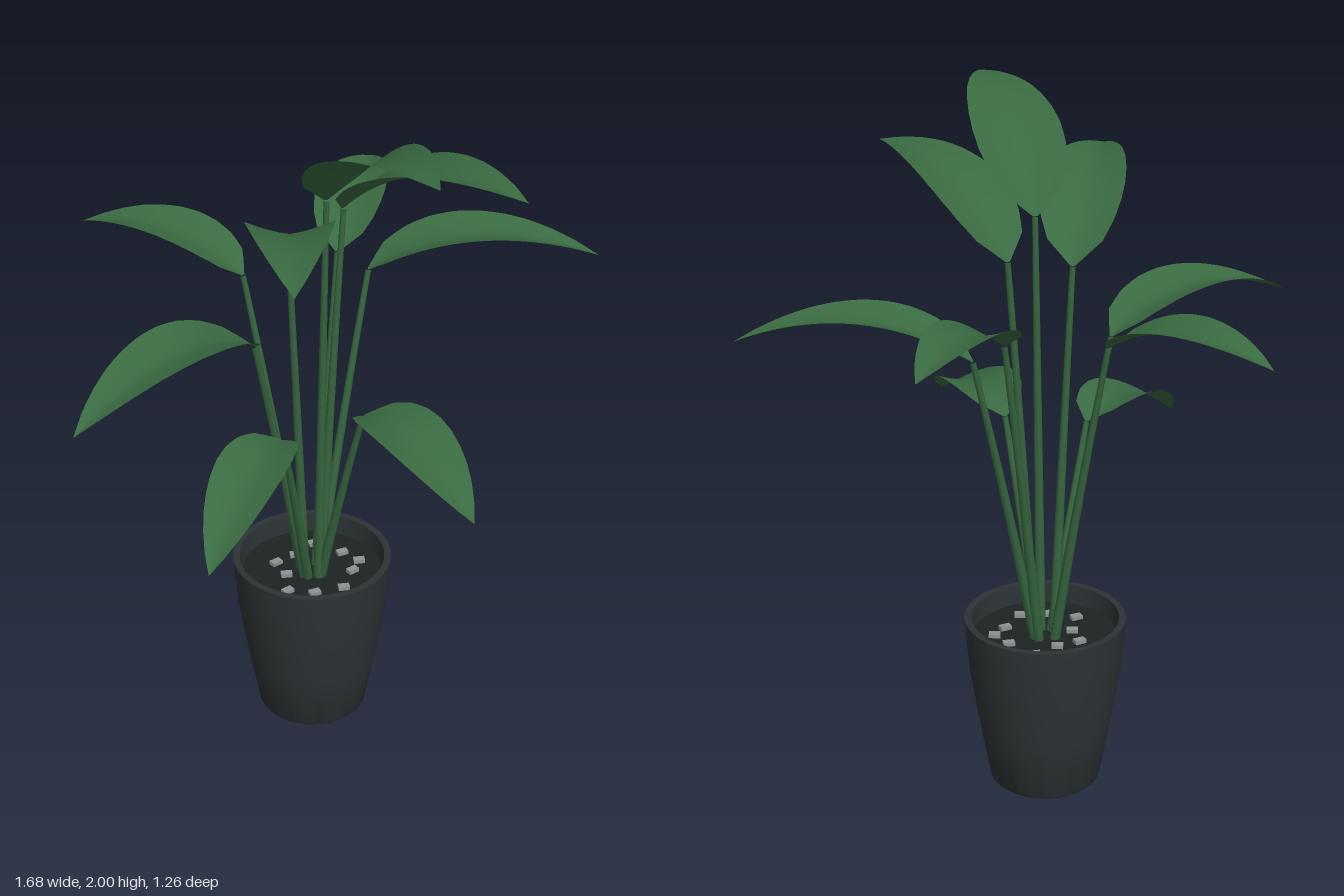
import * as THREE from 'three';
import { toCreasedNormals } from 'three/addons/utils/BufferGeometryUtils.js';

const material = (name, color, extra = {}) => {
  const m = new THREE.MeshStandardMaterial({ color, ...extra });
  m.name = name;
  return m;
};
const leafGreen = material('leaf green', 0x3a6b42, { side: THREE.DoubleSide });
const stemGreen = material('stem green', 0x37663f);
const potGrey = material('pot charcoal', 0x2d3436);
const soilDark = material('soil dark', 0x1d2223);
const pebbleGrey = material('pebble grey', 0x8d9395);

const POT = new THREE.Vector3(-0.018, 0, -0.057);
const SOIL_Y = 0.465;

// Each leaf: base, tip, height of the arch control point, half width
const LEAVES = [
  { name: 'topFront', base: [-0.005, 1.72, 0.02], tip: [0.03, 1.995, 0.62], arch: 2.0, half: 0.128 },
  { name: 'upperFrontRight', base: [-0.105, 1.58, -0.01], tip: [-0.34, 1.765, 0.59], arch: 1.84, half: 0.118 },
  { name: 'upperFrontLeft', base: [0.095, 1.63, -0.09], tip: [0.355, 1.84, 0.48], arch: 1.89, half: 0.115 },
  { name: 'middleLeft', base: [0.21, 1.38, -0.17], tip: [0.835, 1.405, 0.06], arch: 1.57, half: 0.105 },
  { name: 'middleRight', base: [-0.235, 1.34, 0.055], tip: [-0.84, 1.35, 0.33], arch: 1.53, half: 0.11 },
  { name: 'lowerRight', base: [-0.18, 1.06, 0.115], tip: [-0.54, 0.93, 0.47], arch: 1.15, half: 0.1 },
  { name: 'lowerFront', base: [0.06, 1.09, 0.13], tip: [0.16, 1.0, 0.625], arch: 1.19, half: 0.108 },
  { name: 'backRight', base: [-0.155, 1.41, -0.225], tip: [-0.49, 1.468, -0.63], arch: 1.565, half: 0.1 },
  { name: 'backLeft', base: [0.13, 1.435, -0.21], tip: [0.44, 1.508, -0.63], arch: 1.595, half: 0.1 },
];

// Relative leaf width from base to tip
const WIDTHS = [0.06, 0.66, 0.88, 0.98, 1, 0.95, 0.85, 0.71, 0.52, 0.29, 0.004];
function leafWidth(t) {
  const f = t * (WIDTHS.length - 1);
  const i = Math.min(Math.floor(f), WIDTHS.length - 2);
  return THREE.MathUtils.lerp(WIDTHS[i], WIDTHS[i + 1], f - i);
}

// Arched blade with its two sides folded up from the midrib
function leafGeometry(base, tip, arch, half) {
  const control = base.clone().lerp(tip, 0.4).setY(arch);
  const spine = new THREE.QuadraticBezierCurve3(base, control, tip);
  const side = new THREE.Vector3(-(tip.z - base.z), 0, tip.x - base.x).normalize();
  const rows = 20, cols = 8, positions = [], index = [];
  for (let i = 0; i <= rows; i++) {
    const t = i / rows;
    const centre = spine.getPointAt(t);
    const up = new THREE.Vector3().crossVectors(side, spine.getTangentAt(t));
    if (up.y < 0) up.negate();
    const w = half * leafWidth(t);
    for (let j = 0; j <= cols; j++) {
      const s = (j / cols) * 2 - 1;
      const p = centre.clone()
        .addScaledVector(side, s * w)
        .addScaledVector(up, 0.28 * w * Math.abs(s) ** 1.4);
      positions.push(p.x, p.y, p.z);
      if (i < rows && j < cols) {
        const a = i * (cols + 1) + j, b = a + cols + 1;
        index.push(a, a + 1, b, a + 1, b + 1, b);
      }
    }
  }
  const g = new THREE.BufferGeometry();
  g.setAttribute('position', new THREE.Float32BufferAttribute(positions, 3));
  g.setIndex(index);
  g.computeVertexNormals();
  // Turn the front face upward
  const n = g.attributes.normal;
  if (n.getY(Math.floor(n.count / 2)) < 0) {
    g.setIndex(index.reverse());
    g.computeVertexNormals();
  }
  return g;
}

// Slightly bowed stalk, thinner toward the leaf
function stemGeometry(base) {
  const out = new THREE.Vector3(base.x - POT.x, 0, base.z - POT.z);
  const root = POT.clone().addScaledVector(out.clone().normalize(), 0.035).setY(SOIL_Y - 0.01);
  const bow = root.clone().lerp(base, 0.5).addScaledVector(out, -0.04);
  const curve = new THREE.QuadraticBezierCurve3(root, bow, base);
  const rows = 12, sides = 8;
  const g = new THREE.TubeGeometry(curve, rows, 1, sides, false);
  const pos = g.attributes.position;
  for (let i = 0; i <= rows; i++) {
    const c = curve.getPointAt(i / rows);
    const r = THREE.MathUtils.lerp(0.016, 0.0085, i / rows);
    for (let j = 0; j <= sides; j++) {
      const k = i * (sides + 1) + j;
      const p = new THREE.Vector3().fromBufferAttribute(pos, k).sub(c).multiplyScalar(r).add(c);
      pos.setXYZ(k, p.x, p.y, p.z);
    }
  }
  return g;
}

export function createModel() {
  const model = new THREE.Group();
  model.name = 'pottedPlant';
  const add = (name, geometry, mat, parent = model) => {
    const mesh = new THREE.Mesh(geometry, mat);
    mesh.name = name;
    parent.add(mesh);
    return mesh;
  };

  // Tapered pot with an open, hollow rim
  const profile = [[0, 0], [0.16, 0], [0.164, 0.006], [0.195, 0.18], [0.224, 0.36], [0.237, 0.525],
    [0.217, 0.525], [0.211, 0.44], [0, 0.44]].map(([x, y]) => new THREE.Vector2(x, y));
  add('pot', toCreasedNormals(new THREE.LatheGeometry(profile, 48), 0.6), potGrey)
    .position.copy(POT);

  // Soil disc
  add('soil', new THREE.CylinderGeometry(0.212, 0.21, 0.03, 40), soilDark)
    .position.set(POT.x, SOIL_Y - 0.015, POT.z);

  // Pebbles scattered on the soil
  const pebbles = new THREE.Group();
  pebbles.name = 'pebbles';
  model.add(pebbles);
  [[-0.035, -0.145], [0.04, -0.18], [-0.105, -0.13], [-0.1, -0.06], [0.1, -0.1], [0.09, 0.0],
    [0.03, 0.07], [-0.06, 0.06], [-0.13, 0.02], [0.13, -0.04]].forEach(([x, z], i) => {
    const stone = add('pebble', new THREE.BoxGeometry(0.034, 0.016, 0.022), pebbleGrey, pebbles);
    stone.position.set(x, SOIL_Y + 0.004, z);
    stone.rotation.y = (i % 3 - 1) * 0.25;
  });

  // Stalks, each carrying one leaf
  for (const { name, base, tip, arch, half } of LEAVES) {
    const branch = new THREE.Group();
    branch.name = `${name}Branch`;
    model.add(branch);
    const from = new THREE.Vector3(...base), to = new THREE.Vector3(...tip);
    add(`${name}Stem`, stemGeometry(from), stemGreen, branch);
    add(`${name}Leaf`, leafGeometry(from, to, arch, half), leafGreen, branch);
  }
  return model;
}
